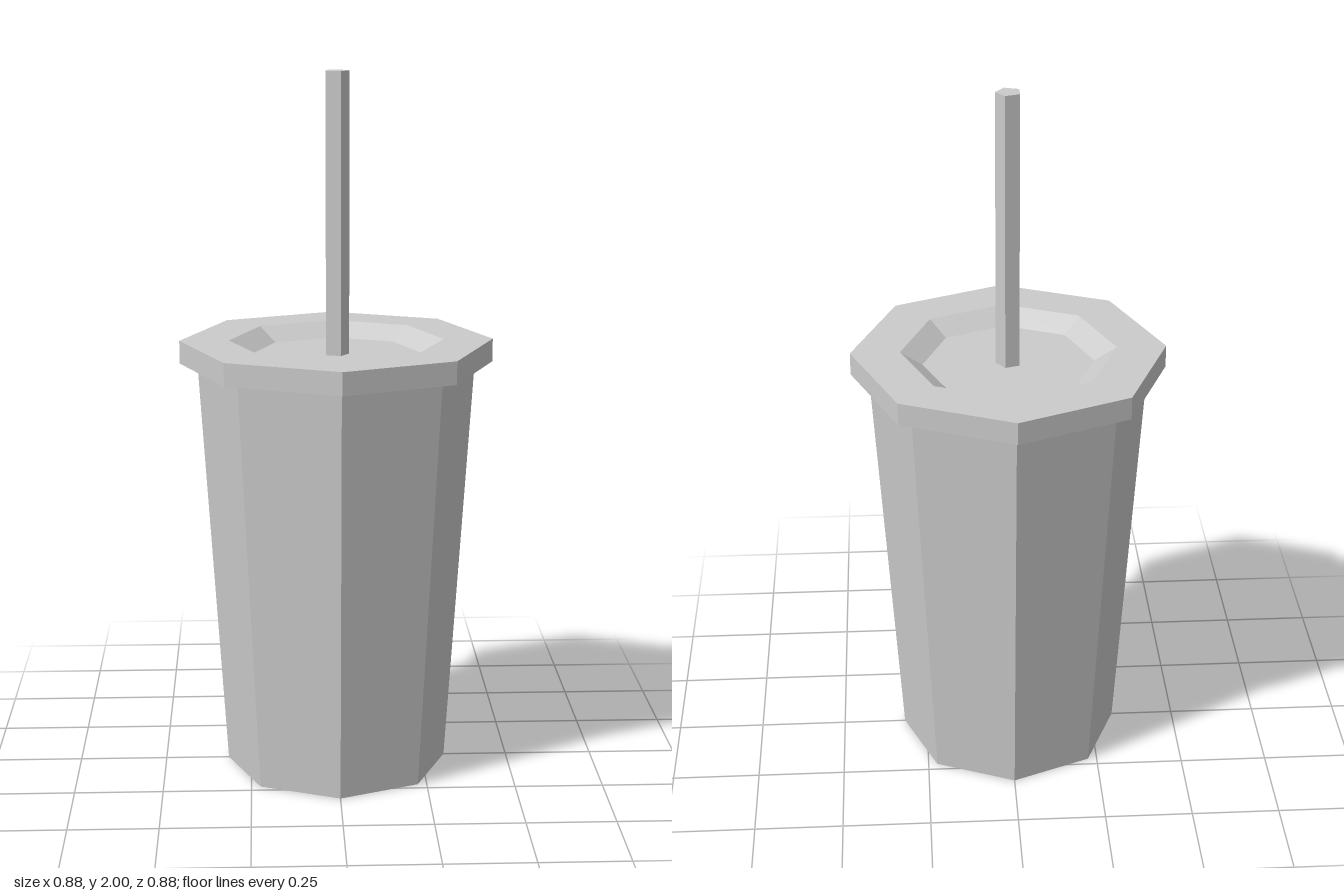
import * as THREE from 'three';

const SIDES = 8;

export function createModel() {
  const group = new THREE.Group();
  const material = new THREE.MeshStandardMaterial({ color: 0xcccccc, flatShading: true });

  const add = (name, geometry) => {
    const mesh = new THREE.Mesh(geometry, material);
    mesh.name = name;
    group.add(mesh);
    return mesh;
  };
  // Faceted solid of revolution; profile runs from the bottom axis up to the top axis
  const turned = (profile) =>
    new THREE.LatheGeometry(profile.map(([r, y]) => new THREE.Vector2(r, y)), SIDES);

  const lidBottom = 1.185, lidTop = 1.25, lidFloor = 1.21;

  // Tapered octagonal cup
  add('cup', turned([[0, 0], [0.317, 0], [0.392, lidBottom]]));

  // Overhanging lid with a sloped recess in its top
  add('lid', turned([
    [0, lidBottom], [0.442, lidBottom], [0.442, lidTop],
    [0.303, lidTop], [0.241, lidFloor], [0, lidFloor],
  ]));

  // Five-sided straw standing on the recess floor, one corner towards +x
  const strawLength = 2 - lidFloor;
  const straw = add('straw',
    new THREE.CylinderGeometry(0.036, 0.036, strawLength, 5, 1, false, Math.PI / 2));
  straw.position.y = lidFloor + strawLength / 2;

  return group;
}
